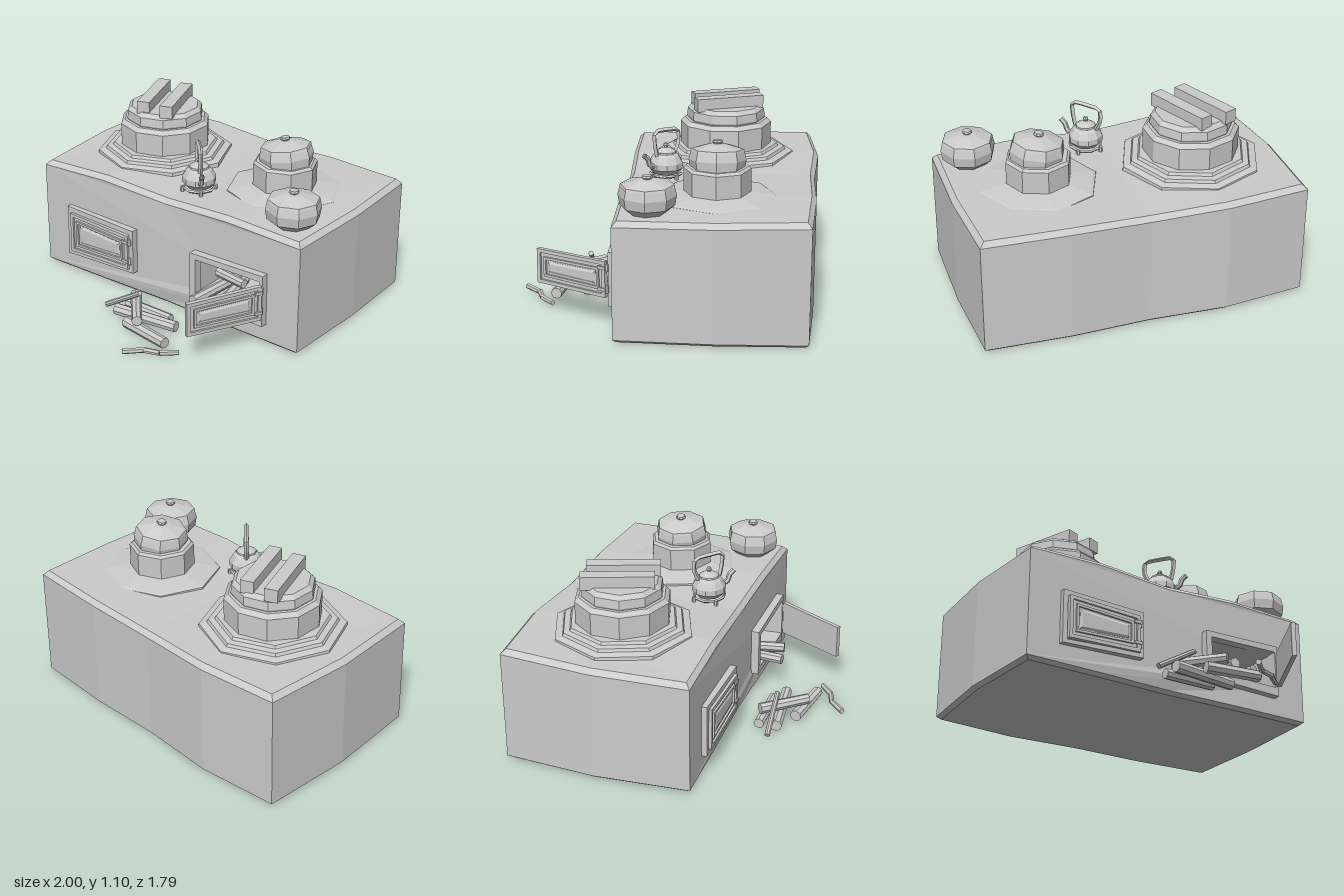
import * as THREE from 'three';

const mat = new THREE.MeshStandardMaterial({ color: 0xcccccc, flatShading: true });
const matDouble = new THREE.MeshStandardMaterial({ color: 0xcccccc, flatShading: true, side: THREE.DoubleSide });
const V = (x, y, z) => new THREE.Vector3(x, y, z);

function add(parent, name, geo, pos = [0, 0, 0], material = mat) {
  const m = new THREE.Mesh(geo, material);
  m.name = name;
  m.position.set(...pos);
  parent.add(m);
  return m;
}
function group(parent, name, pos = [0, 0, 0], rotY = 0) {
  const g = new THREE.Group();
  g.name = name;
  g.position.set(...pos);
  g.rotation.y = rotY;
  parent.add(g);
  return g;
}
const lathe = (pts, sides) => new THREE.LatheGeometry(pts.map(p => new THREE.Vector2(...p)), sides);
const shape = pts => new THREE.Shape(pts.map(p => new THREE.Vector2(...p)));

// Solid log between two points
function log(parent, name, a, b, r, sides = 8) {
  const p = V(...a), q = V(...b), d = q.clone().sub(p);
  const m = add(parent, name, new THREE.CylinderGeometry(r, r * 1.08, d.length(), sides));
  m.position.copy(p).add(q).multiplyScalar(0.5);
  m.quaternion.setFromUnitVectors(V(0, 1, 0), d.normalize());
}

// Four-cornered frame with an opening; quads are [x0, x1, left y0, left y1, right y0, right y1]
const quad = ([x0, x1, a0, a1, b0, b1]) => [[x0, a0], [x1, b0], [x1, b1], [x0, a1]];
function frame(outer, inner, depth) {
  const s = shape(quad(outer));
  s.holes.push(shape(quad(inner)));
  return new THREE.ExtrudeGeometry(s, { depth, bevelEnabled: false });
}

// Plan outline: front left to right, right side, back right to left, left side
const OUTLINE = [
  [-0.955, 0.28, 0.68], [-0.47, 0.27, 0.7], [0, 0.255, 0.675], [0.47, 0.265, 0.7], [0.98, 0.265, 0.685],
  [1, -0.3, 0.69],
  [0.98, -0.83, 0.7], [0.47, -0.865, 0.7], [0, -0.865, 0.685], [-0.47, -0.9, 0.7], [-0.97, -0.86, 0.7],
  [-1, -0.3, 0.69]];
const OPENING = [0.27, 0.74, 0.185, 0.41, 0.185, 0.42];

function buildBody(root) {
  const g = group(root, 'stoveBody');
  const inset = ([x, z], k) => [x * (1 - k), -0.31 + (z + 0.31) * (1 - k * 1.6)];
  const rings = [
    OUTLINE.map(p => { const [x, z] = inset(p, 0.025); return [x, 0, z]; }),
    OUTLINE.map(([x, z]) => [x, 0.02, z]),
    OUTLINE.map(([x, z, y]) => [x, y, z]),
    OUTLINE.map(p => { const [x, z] = inset(p, 0.03); return [x, p[2] + 0.03, z]; })];
  const n = OUTLINE.length, idx = [];
  const face = (a, b, c, d) => idx.push(a, b, c, a, c, d);
  for (let r = 0; r < 3; r++)
    for (let i = 0; i < n; i++) {
      if (r === 1 && i < 4) continue; // front wall is made separately
      const j = (i + 1) % n;
      face(r * n + i, r * n + j, (r + 1) * n + j, (r + 1) * n + i);
    }
  // Top and bottom
  const t = 3 * n;
  for (let i = 0; i < 4; i++) {
    face(t + i, t + i + 1, t + 9 - i, t + 10 - i);
    face(10 - i, 9 - i, i + 1, i);
  }
  idx.push(t + 4, t + 5, t + 6, t + 10, t + 11, t, 6, 5, 4, 0, 11, 10);
  const geo = new THREE.BufferGeometry();
  geo.setAttribute('position', new THREE.Float32BufferAttribute(rings.flat(2), 3));
  geo.setIndex(idx);
  geo.computeVertexNormals();
  add(g, 'shell', geo);

  // Front wall with the firebox opening, bent to follow the outline
  const f = OUTLINE.slice(0, 5);
  const s = shape([...f.map(p => [p[0], 0.02]), ...f.map(p => [p[0], p[2]]).reverse()]);
  s.holes.push(shape(quad(OPENING)));
  const wall = new THREE.ShapeGeometry(s), pos = wall.attributes.position;
  for (let v = 0; v < pos.count; v++) {
    const x = pos.getX(v);
    let i = 0;
    while (i < 3 && x > f[i + 1][0]) i++;
    pos.setZ(v, THREE.MathUtils.mapLinear(x, f[i][0], f[i + 1][0], f[i][1], f[i + 1][1]));
  }
  add(g, 'frontWall', wall);

  // Firebox lining, open at the front
  const box = new THREE.BoxGeometry(0.48, 0.24, 0.45);
  const ind = Array.from(box.index.array);
  box.setIndex([...ind.slice(0, 24), ...ind.slice(30)]);
  add(g, 'fireboxLining', box, [0.505, 0.3, 0.04], matDouble);
}

// Door hinged at local x = 0, reaching towards -x; hf and hh are the free and hinge half heights
function buildDoor(parent, name, pos, rotY, hf, hh) {
  const g = group(parent, name, pos, rotY), w = 0.47;
  const q = (d) => [-w + d, -d, -hf + d, hf - d, -hh + d, hh - d];
  add(g, 'doorPanel', new THREE.ExtrudeGeometry(shape(quad(q(0.01))), { depth: 0.015, bevelEnabled: false }));
  add(g, 'doorRim', frame(q(0), q(0.022), 0.027));
  add(g, 'doorMoulding', frame(q(0.045), q(0.06), 0.027));
  add(g, 'doorCenter', new THREE.ExtrudeGeometry(shape(quad(q(0.085))),
    { depth: 0.004, bevelThickness: 0.008, bevelSize: 0.014, bevelSegments: 1 }), [0, 0, 0.012]);
  for (const y of [-0.06, 0.07]) {
    add(g, 'hingePin', new THREE.CylinderGeometry(0.012, 0.012, 0.045, 6), [0.005, y, 0.012]);
    add(g, 'hingeStrap', new THREE.BoxGeometry(0.05, 0.018, 0.012), [-0.02, y, 0.028]);
  }
}

// Lidded round pot, base at local y = 0
function buildPot(parent, name, pos) {
  const g = group(parent, name, pos);
  add(g, 'potBody', lathe([[0, 0], [0.1, 0], [0.155, 0.045], [0.165, 0.105], [0.152, 0.155]], 8));
  add(g, 'potLid', lathe([[0.156, 0.15], [0.15, 0.165], [0.055, 0.192], [0, 0.197]], 8));
  add(g, 'lidKnob', lathe([[0.015, 0.185], [0.03, 0.203], [0.026, 0.215], [0, 0.218]], 8));
  return g;
}

function buildKettle(root) {
  const g = group(root, 'kettle', [0.08, 0.72, 0.03], -0.8);
  add(g, 'trivet', new THREE.TorusGeometry(0.095, 0.009, 4, 8).rotateX(Math.PI / 2), [0, 0.012, 0]);
  for (let i = 0; i < 4; i++)
    add(g, 'trivetFoot', new THREE.CylinderGeometry(0.012, 0.012, 0.04, 6),
      [0.1 * Math.cos(i * Math.PI / 2), 0, 0.1 * Math.sin(i * Math.PI / 2)]);
  add(g, 'kettleBody', lathe([[0, 0.018], [0.075, 0.018], [0.103, 0.05], [0.103, 0.085], [0.08, 0.125], [0.055, 0.145]], 10));
  add(g, 'kettleLid', lathe([[0.062, 0.14], [0.06, 0.15], [0.03, 0.168], [0, 0.172]], 10));
  add(g, 'kettleKnob', new THREE.SphereGeometry(0.017, 6, 4), [0, 0.187, 0]);
  const tube = (name, pts, r, sides) => add(g, name,
    new THREE.TubeGeometry(new THREE.CatmullRomCurve3(pts.map(p => V(...p, 0)), false, 'catmullrom', 0.2), 14, r, sides), [0, 0, 0], matDouble);
  tube('kettleSpout', [[0.085, 0.065], [0.125, 0.085], [0.14, 0.125], [0.168, 0.15]], 0.016, 6);
  tube('kettleHandle', [[-0.07, 0.13], [-0.1, 0.2], [-0.095, 0.262], [-0.07, 0.275], [0.06, 0.285], [0.09, 0.27], [0.085, 0.2], [0.07, 0.13]], 0.014, 4);
}

function buildHotplates(root) {
  // Large left stove ring with stepped base and barred lid
  const a = group(root, 'largeBurner', [-0.46, 0, -0.31]);
  add(a, 'steppedBase', lathe([[0.43, 0.69], [0.425, 0.737], [0.38, 0.747], [0.372, 0.765], [0.335, 0.77], [0.325, 0.787], [0.25, 0.79]], 8));
  add(a, 'burnerDrum', lathe([[0.285, 0.77], [0.285, 0.925], [0.26, 0.95], [0, 0.95]], 10));
  add(a, 'burnerLid', lathe([[0.235, 0.94], [0.245, 0.96], [0.24, 1.01], [0.215, 1.035], [0, 1.035]], 10));
  for (const [x, z] of [[-0.085, 0.005], [0.075, -0.02]]) {
    const bar = add(a, 'lidBar', new THREE.BoxGeometry(0.08, 0.08, 0.43), [x, 1.062, z]);
    bar.rotation.y = 0.37;
  }
  // Smaller right stove ring with a pot set into it
  const b = group(root, 'smallBurner', [0.48, 0, -0.295]);
  add(b, 'burnerBase', lathe([[0.35, 0.69], [0.35, 0.727], [0.335, 0.733], [0.18, 0.757]], 8));
  add(b, 'burnerCollar', lathe([[0.195, 0.74], [0.195, 0.89], [0.18, 0.905], [0.15, 0.905], [0.145, 0.8], [0, 0.8]], 8));
  const pot = buildPot(b, 'tiltedPot', [0.018, 0.838, 0]);
  pot.rotation.z = 0.12;
  buildPot(root, 'cookingPot', [0.8, 0.718, 0.08]);
}

function buildFirewood(root) {
  const g = group(root, 'firewood');
  const logs = [
    [[-0.15, 0.03, 0.435], [0.18, 0.03, 0.43], 0.03],
    [[-0.15, 0.036, 0.545], [0.27, 0.036, 0.49], 0.034],
    [[0, 0.036, 0.625], [0.335, 0.036, 0.675], 0.034],
    [[-0.095, 0.103, 0.425], [0.12, 0.103, 0.67], 0.032],
    [[-0.25, 0.022, 0.52], [0.005, 0.178, 0.505], 0.016],
    // Logs in the firebox
    [[0.35, 0.215, 0.43], [0.38, 0.215, 0.02], 0.03],
    [[0.505, 0.215, 0.4], [0.43, 0.215, 0.02], 0.03],
    [[0.315, 0.275, 0.14], [0.53, 0.275, 0.17], 0.028]];
  logs.forEach(([p, q, r]) => log(g, 'log', p, q, r));
  // Crooked twig
  const twig = [[0.18, 0.018, 0.875], [0.27, 0.018, 0.785], [0.36, 0.018, 0.755], [0.445, 0.018, 0.68]];
  for (let i = 0; i < 3; i++) log(g, 'twig', twig[i], twig[i + 1], 0.016, 6);
}

export function createModel() {
  const root = new THREE.Group();
  root.name = 'kitchenStove';
  buildBody(root);
  // Door frames
  add(root, 'closedDoorFrame', frame([-0.75, -0.215, 0.13, 0.46, 0.155, 0.445], [-0.72, -0.245, 0.155, 0.425, 0.185, 0.415], 0.06), [0, 0, 0.25]);
  add(root, 'openDoorFrame', frame([0.23, 0.76, 0.145, 0.445, 0.13, 0.46], OPENING, 0.06), [0, 0, 0.25]);
  buildDoor(root, 'closedDoor', [-0.245, 0.295, 0.3], 0, 0.132, 0.115);
  buildDoor(root, 'openDoor', [0.745, 0.298, 0.315], 1.107, 0.105, 0.11);
  buildHotplates(root);
  buildKettle(root);
  buildFirewood(root);
  return root;
}
